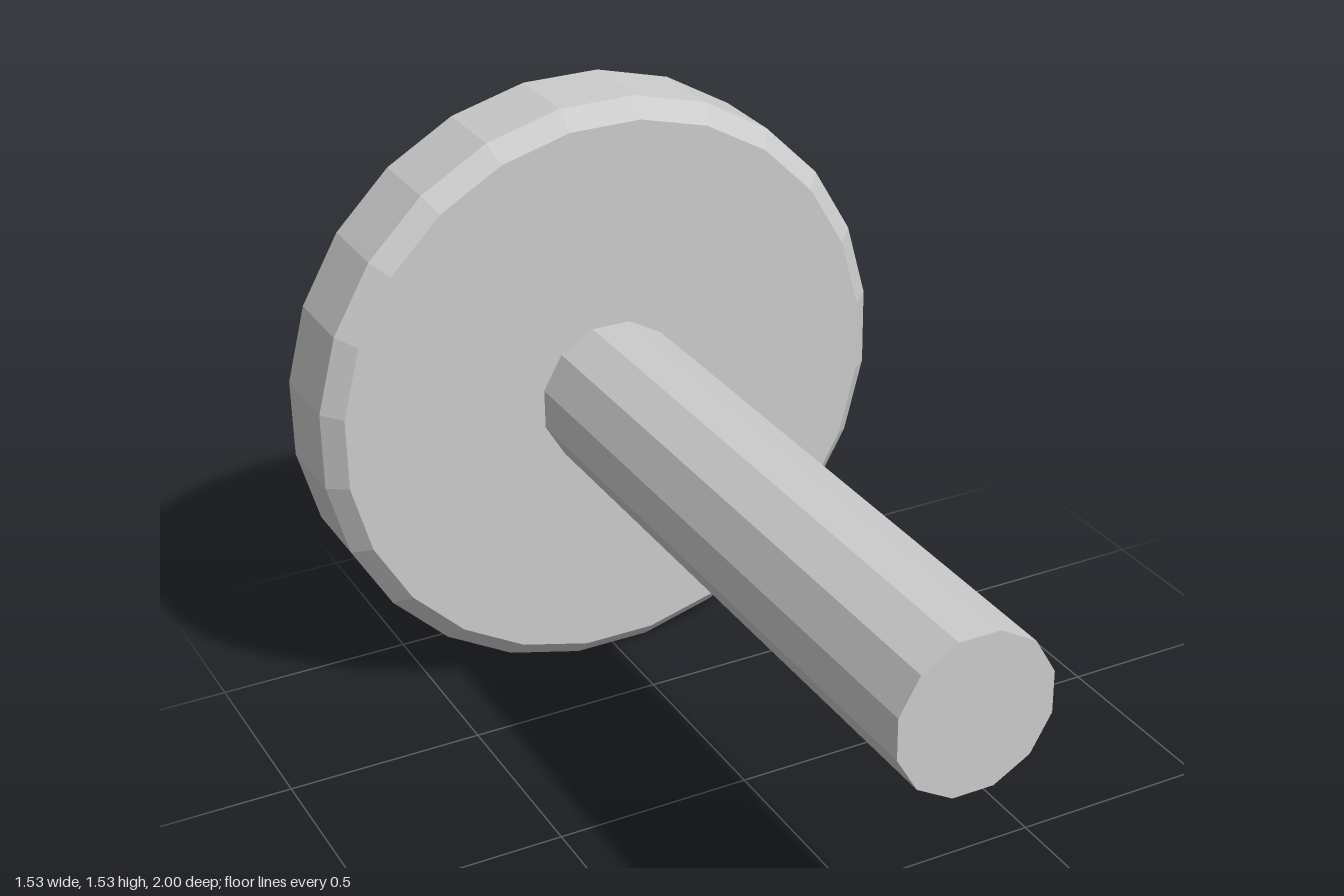
import * as THREE from 'three';

const CENTRE_Y = 0.765;

// Faceted solid turned about the z axis; profile is [radius to flat, z] from back to front.
function turned(name, profile, sides, material) {
  const toCorner = 1 / Math.cos(Math.PI / sides); // flats face straight up and sideways
  const points = profile.map(([r, z]) => new THREE.Vector2(r * toCorner, z));
  const geometry = new THREE.LatheGeometry(points, sides, Math.PI / sides);
  geometry.rotateX(Math.PI / 2);
  const mesh = new THREE.Mesh(geometry, material);
  mesh.name = name;
  mesh.position.y = CENTRE_Y;
  return mesh;
}

export function createModel() {
  const group = new THREE.Group();
  group.name = 'discOnShaft';
  const material = new THREE.MeshStandardMaterial({ color: 0xcccccc, flatShading: true });

  // Round plate with chamfered rims
  group.add(turned('disc', [
    [0, -1], [0.718, -1], [0.765, -0.955], [0.765, -0.745], [0.718, -0.7], [0, -0.7],
  ], 24, material));

  // Straight rod standing out from the plate
  group.add(turned('shaft', [
    [0, -0.7], [0.19, -0.7], [0.19, 1], [0, 1],
  ], 12, material));

  return group;
}
